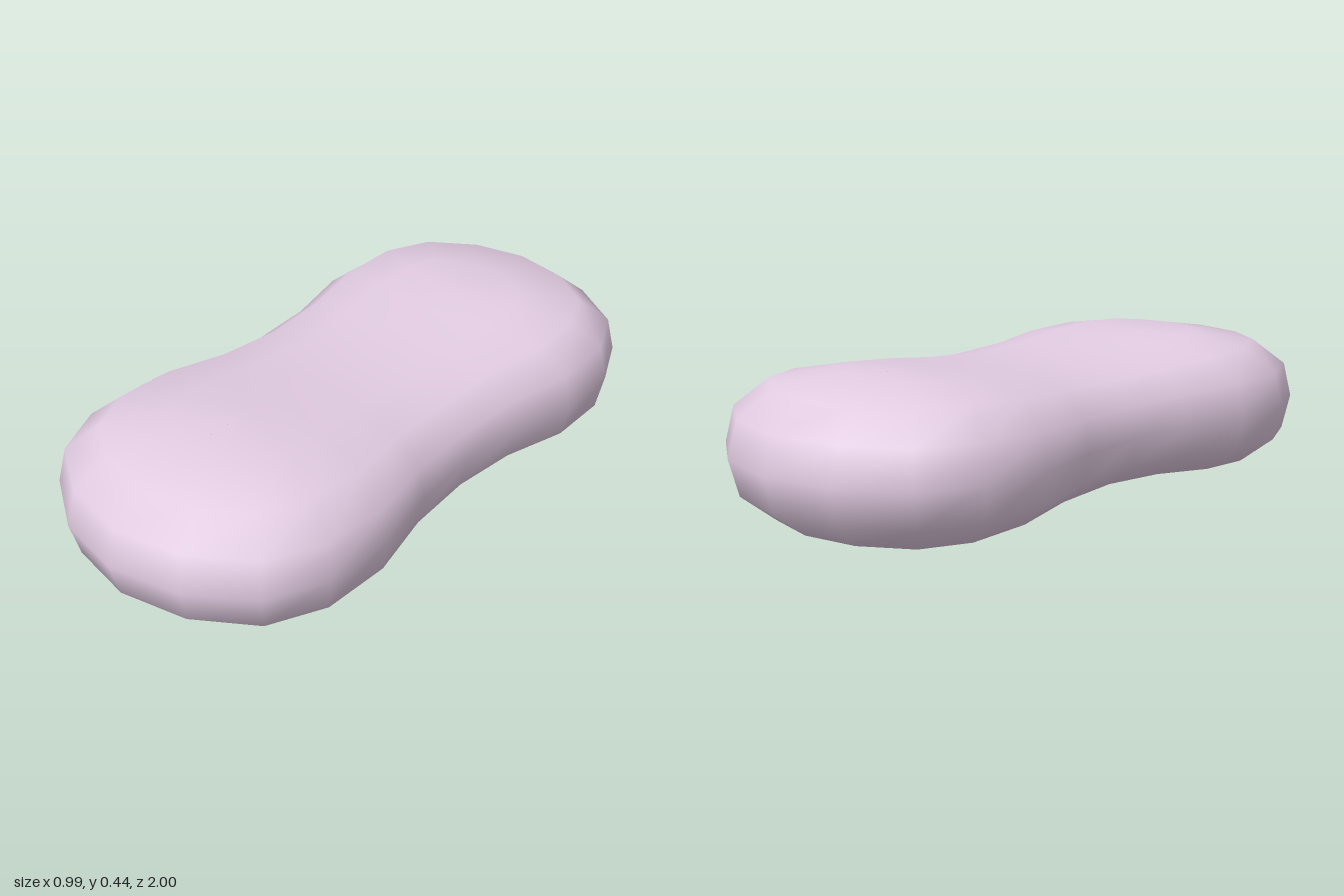
import * as THREE from 'three';
import { mergeVertices } from 'three/addons/utils/BufferGeometryUtils.js';

const MID = 0.225; // height of the widest ring

// Quarter of the plan outline [x, z], from the front tip to the waist
const QUARTER = [
  [0, 1], [0.22, 0.955], [0.402, 0.835], [0.485, 0.66],
  [0.495, 0.44], [0.445, 0.22], [0.43, 0],
];

// Concentric rings: [height fraction, x scale, z scale], from the top ridge to the rim
const RINGS = [
  [1, 0, 0.5], [0.98, 0.43, 0.67], [0.83, 0.77, 0.87], [0.48, 0.96, 0.97], [0, 1, 1],
];

// Mirror the quarter into a closed loop
function planOutline() {
  const back = QUARTER.slice(0, -1).reverse().map(([x, z]) => [x, -z]);
  const half = [...QUARTER, ...back];
  const other = half.slice(1, -1).reverse().map(([x, z]) => [-x, z]);
  return [...half, ...other];
}

// Half thickness along the length: thinner at the waist
function halfThickness(z) {
  return 0.185 + 0.04 * THREE.MathUtils.smoothstep(Math.abs(z), 0, 0.65);
}

function bodyGeometry() {
  const outline = planOutline();
  const n = outline.length;
  const lower = RINGS.slice(0, -1).reverse().map(([f, sx, sz]) => [-f, sx, sz]);
  const rings = [...RINGS, ...lower];
  const positions = [];
  const index = [];

  rings.forEach(([f, sx, sz], r) => {
    outline.forEach(([x, z], i) => {
      // Pull the rounded ends in more than the waist
      const zz = z * (1 - (1 - sz) * Math.abs(z));
      positions.push(x * sx, MID + f * halfThickness(zz), zz);
      if (r === 0) return;
      const j = (i + 1) % n;
      const a = (r - 1) * n;
      const b = r * n;
      index.push(b + i, b + j, a + j, b + i, a + j, a + i);
    });
  });

  const geometry = new THREE.BufferGeometry();
  geometry.setAttribute('position', new THREE.Float32BufferAttribute(positions, 3));
  geometry.setIndex(index);
  // Join both sides along the ridges for smooth shading
  const merged = mergeVertices(geometry, 1e-4);
  merged.computeVertexNormals();
  return merged;
}

export function createModel() {
  const model = new THREE.Group();
  model.name = 'waistedPebble';

  // Smooth, waisted body
  const body = new THREE.Mesh(
    bodyGeometry(),
    new THREE.MeshStandardMaterial({ color: 0xe2cce2 })
  );
  body.name = 'body';
  model.add(body);

  return model;
}
